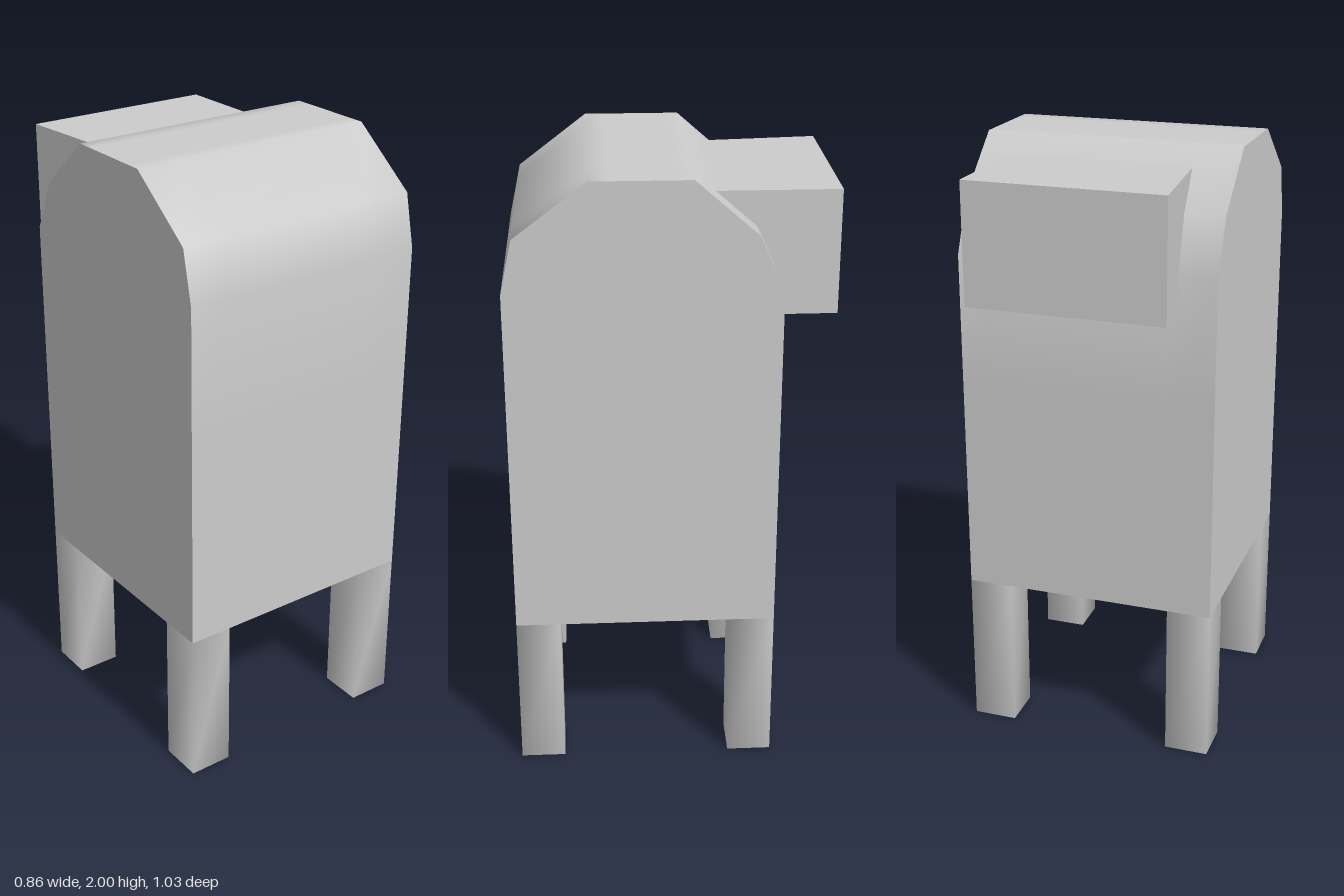
import * as THREE from 'three';
import { mergeVertices, toCreasedNormals } from 'three/addons/utils/BufferGeometryUtils.js';

const grey = new THREE.MeshStandardMaterial({ color: 0xcccccc });

const HALF_X = 0.42, HALF_Z = 0.4225, LEG = 0.145, FLOOR = 0.52;

function part(name, geometry, parent) {
  const mesh = new THREE.Mesh(geometry, grey);
  mesh.name = name;
  parent.add(mesh);
  return mesh;
}

// Box body whose upper rows are drawn in to form the faceted round roof
function bodyGeometry() {
  const rows = [FLOOR, 1.23, 1.66, 1.83, 2];
  const front = [HALF_Z, HALF_Z, HALF_Z, 0.385, 0.16];
  const back = [HALF_Z, HALF_Z, HALF_Z, 0.345, 0.15];
  const inner = (HALF_X - LEG) / HALF_X;
  const steps = [-1, -inner, inner, 1];

  const g = new THREE.BoxGeometry(3, 4, 3, 3, 4, 3);
  const p = g.attributes.position;
  for (let i = 0; i < p.count; i++) {
    const row = Math.round(p.getY(i) + 2);
    const sx = steps[Math.round(p.getX(i) + 1.5)];
    const sz = steps[Math.round(p.getZ(i) + 1.5)];
    p.setXYZ(i, sx * HALF_X, rows[row], sz * (sz > 0 ? front[row] : back[row]));
  }
  return toCreasedNormals(g, 0.8);
}

// Square leg with softened shading and no top face
function legGeometry() {
  const g = new THREE.BoxGeometry(LEG, FLOOR, LEG);
  const index = Array.from(g.index.array);
  index.splice(12, 6);
  g.setIndex(index);
  g.deleteAttribute('normal');
  g.deleteAttribute('uv');
  const soft = mergeVertices(g);
  soft.computeVertexNormals();
  return soft;
}

// Slightly skewed block set into the back of the roof
function boxGeometry() {
  const s = new THREE.Shape([
    new THREE.Vector2(-0.305, 0.52),
    new THREE.Vector2(0.335, 0.508),
    new THREE.Vector2(0.329, 0.1),
    new THREE.Vector2(-0.271, 0.11),
  ]);
  const g = new THREE.ExtrudeGeometry(s, { depth: 0.39, bevelEnabled: false });
  g.rotateX(-Math.PI / 2);
  g.translate(0, 1.55, 0);
  return g;
}

export function createModel() {
  const model = new THREE.Group();
  model.name = 'mailbox';

  // Cabinet on legs, turned a touch about the vertical
  const cabinet = new THREE.Group();
  cabinet.name = 'cabinet';
  cabinet.position.z = 0.085;
  cabinet.rotation.y = -0.018;
  model.add(cabinet);

  part('body', bodyGeometry(), cabinet);

  const leg = legGeometry();
  for (const sx of [-1, 1]) {
    for (const sz of [-1, 1]) {
      const name = (sz > 0 ? 'front' : 'back') + (sx > 0 ? 'Left' : 'Right') + 'Leg';
      part(name, leg, cabinet).position.set(
        sx * (HALF_X - LEG / 2), FLOOR / 2, sz * (HALF_Z - LEG / 2));
    }
  }

  part('backBox', boxGeometry(), model);
  return model;
}
